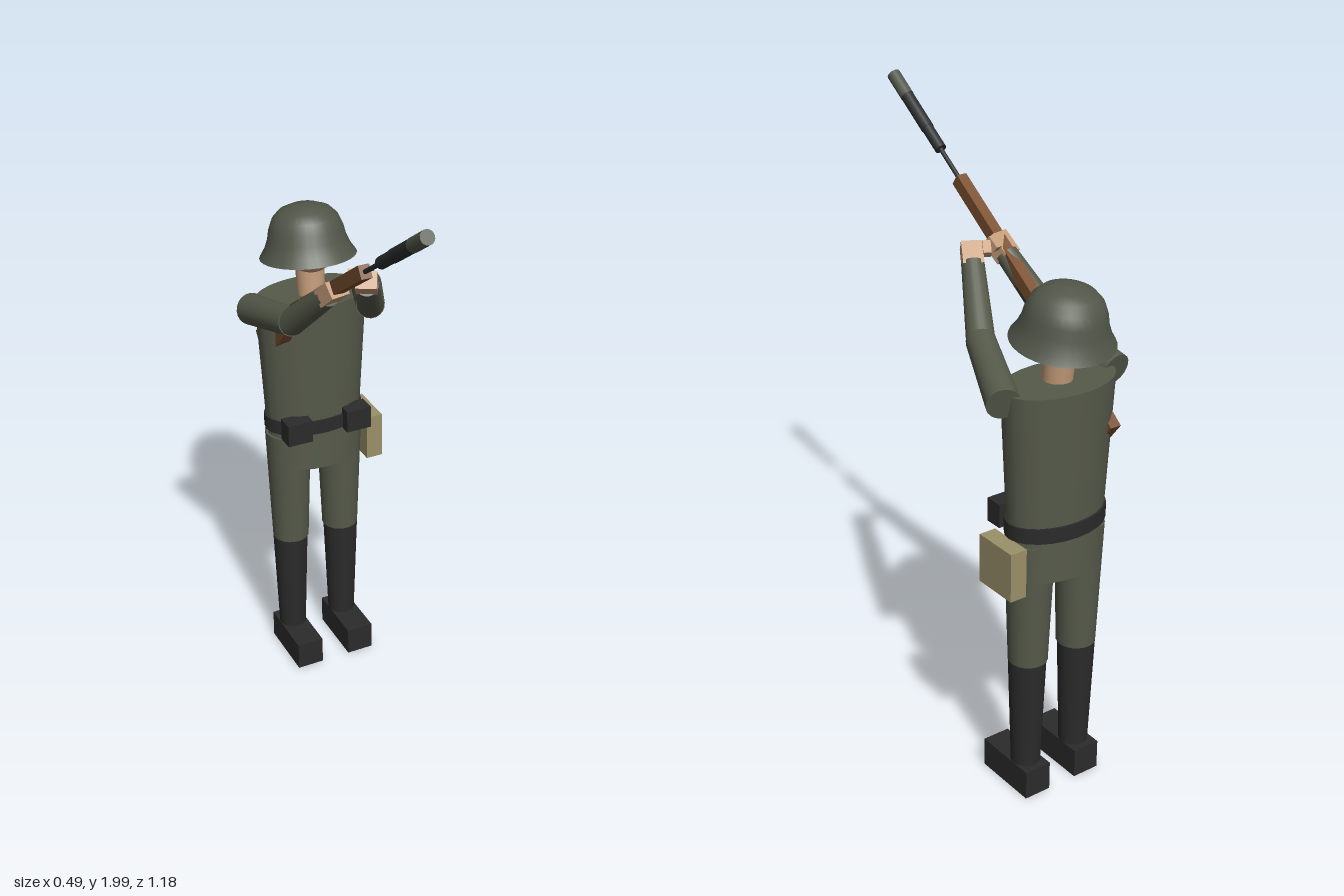
import * as THREE from 'three';

const mat = (name, color, side = THREE.FrontSide) => {
  const m = new THREE.MeshStandardMaterial({ color, side });
  m.name = name;
  return m;
};

export function createModel() {
  const tunic = mat('field grey cloth', 0x565a4a);
  const steel = mat('painted helmet steel', 0x52574a, THREE.DoubleSide);
  const leather = mat('black leather', 0x2b2b2b);
  const skin = mat('skin', 0xc49c7a);
  const wood = mat('walnut wood', 0x7a5030);
  const metal = mat('gun metal', 0x2c2e2f);
  const canvas = mat('canvas', 0x9a9069);

  const root = new THREE.Group();
  root.name = 'soldier';
  const BODY_Z = -0.43;
  const V = (x, y, z) => new THREE.Vector3(x, y, z);

  const add = (parent, name, geo, material, x = 0, y = 0, z = 0) => {
    const m = new THREE.Mesh(geo, material);
    m.name = name;
    m.position.set(x, y, z);
    parent.add(m);
    return m;
  };
  const box = (parent, name, material, w, h, d, x, y, z) =>
    add(parent, name, new THREE.BoxGeometry(w, h, d), material, x, y, z);
  // Upright tapered tube between two heights, flattened front to back
  const column = (name, material, rTop, rBottom, y0, y1, x = 0, flat = 1) => {
    const m = add(root, name, new THREE.CylinderGeometry(rTop, rBottom, y1 - y0, 24), material, x, (y0 + y1) / 2, BODY_Z);
    m.scale.z = flat;
    return m;
  };
  // Tapered limb between two points
  const limb = (name, a, b, ra, rb) => {
    const m = add(root, name, new THREE.CylinderGeometry(rb, ra, a.distanceTo(b), 20), tunic);
    m.position.copy(a).lerp(b, 0.5);
    m.quaternion.setFromUnitVectors(V(0, 1, 0), b.clone().sub(a).normalize());
    return m;
  };

  // Legs and boots
  for (const s of [-1, 1]) {
    const side = s > 0 ? 'left' : 'right';
    box(root, side + 'Foot', leather, 0.09, 0.095, 0.215, s * 0.094, 0.0475, -0.388);
    column(side + 'BootShaft', leather, 0.058, 0.045, 0.09, 0.462, s * 0.093);
    column(side + 'TrouserLeg', tunic, 0.075, 0.06, 0.46, 0.87, s * 0.091);
    box(root, side + 'BeltPouch', leather, 0.085, 0.075, 0.058, s * 0.103, 0.922, -0.327);
  }

  // Torso, tunic skirt, belt and side bag
  column('tunicSkirt', tunic, 0.156, 0.16, 0.757, 0.92, 0, 0.65);
  column('torso', tunic, 0.185, 0.16, 0.9, 1.345, 0, 0.625);
  column('belt', leather, 0.167, 0.167, 0.89, 0.937, 0, 0.65);
  box(root, 'sideBag', canvas, 0.055, 0.155, 0.15, 0.185, 0.808, -0.427);

  // Neck, head and helmet
  const neck = column('neck', skin, 0.046, 0.044, 1.345, 1.45);
  neck.rotation.x = -0.1;
  add(root, 'head', new THREE.SphereGeometry(0.083, 24, 16), skin, 0, 1.505, -0.425);
  const shell = [[0.152, 0], [0.136, 0.025], [0.122, 0.06], [0.116, 0.09], [0.103, 0.122],
    [0.08, 0.146], [0.045, 0.16], [0, 0.165]].map(p => new THREE.Vector2(...p));
  const helmet = add(root, 'helmet', new THREE.LatheGeometry(shell, 32), steel, 0, 1.467, -0.443);
  helmet.rotation.x = -0.15;

  // Arms: shoulder, elbow and wrist points, then blocky hands along the forearm
  const arms = [
    ['left', V(0.198, 1.325, -0.44), V(0.085, 1.395, -0.18), V(-0.01, 1.555, -0.01)],
    ['right', V(-0.198, 1.325, -0.44), V(-0.175, 1.395, -0.18), V(-0.139, 1.555, 0.0)],
  ];
  for (const [side, shoulder, elbow, wrist] of arms) {
    limb(side + 'UpperArm', shoulder, elbow, 0.05, 0.044);
    add(root, side + 'Elbow', new THREE.SphereGeometry(0.041, 20, 14), tunic).position.copy(elbow);
    limb(side + 'Forearm', elbow, wrist, 0.042, 0.034);
    const hand = new THREE.Group();
    hand.name = side + 'Hand';
    const dir = wrist.clone().sub(elbow).normalize();
    hand.position.copy(wrist).addScaledVector(dir, 0.025);
    root.add(hand);
    hand.lookAt(hand.position.clone().add(dir));
    box(hand, side + 'Palm', skin, 0.062, 0.052, 0.075, 0, 0, 0);
    const inward = side === 'left' ? -1 : 1;
    box(hand, side + 'Thumb', skin, 0.024, 0.024, 0.042, inward * 0.042, 0.022, 0.01);
  }

  // Rifle: local +z runs along the barrel, aimed upward
  const rifle = new THREE.Group();
  rifle.name = 'rifle';
  rifle.position.set(-0.132, 1.567, 0);
  rifle.rotation.x = -THREE.MathUtils.degToRad(35);
  root.add(rifle);
  const barrel = (name, material, r, z0, z1) => {
    const m = add(rifle, name, new THREE.CylinderGeometry(r, r, z1 - z0, 16), material, 0, 0, (z0 + z1) / 2);
    m.rotation.x = Math.PI / 2;
  };
  box(rifle, 'foreStock', wood, 0.034, 0.04, 0.5, 0, 0, 0.028);
  box(rifle, 'receiver', metal, 0.028, 0.02, 0.2, 0, -0.022, -0.15);
  barrel('barrel', metal, 0.007, 0.26, 0.41);
  barrel('muzzleTube', metal, 0.018, 0.395, 0.48);
  barrel('muzzleSleeve', metal, 0.02, 0.48, 0.615);
  barrel('muzzleCap', steel, 0.021, 0.612, 0.702);

  // Shoulder stock, outlined from the side and given thickness across
  const outline = [[-0.2, 0.02], [-0.2, -0.02], [-0.32, -0.03], [-0.46, -0.072], [-0.64, -0.09], [-0.645, 0.0], [-0.36, 0.018]]
    .map(p => new THREE.Vector2(-p[0], p[1]));
  const stockGeo = new THREE.ExtrudeGeometry(new THREE.Shape(outline), { depth: 0.036, bevelEnabled: false });
  stockGeo.translate(0, 0, -0.018);
  stockGeo.rotateY(Math.PI / 2);
  add(rifle, 'shoulderStock', stockGeo, wood);

  return root;
}
